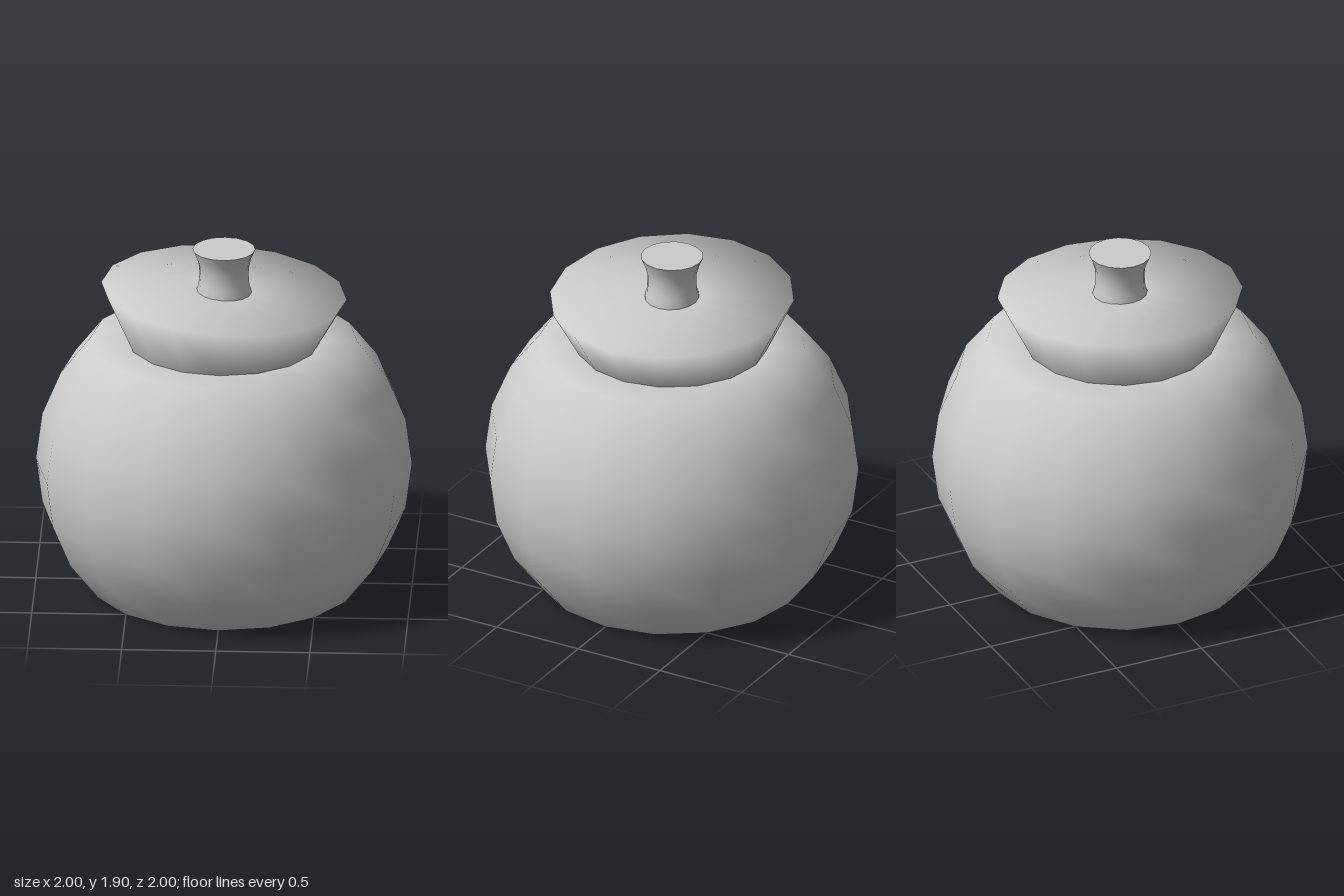
import * as THREE from 'three';
import { mergeVertices } from 'three/addons/utils/BufferGeometryUtils.js';

const SIDES = 16;
const grey = new THREE.MeshStandardMaterial({ color: 0xcccccc, side: THREE.DoubleSide });

// Revolves a profile, optionally moves its vertices, and smooths across every edge
function revolve(name, profile, moveY) {
  let geo = new THREE.LatheGeometry(profile.map(([r, y]) => new THREE.Vector2(r, y)), SIDES);
  geo.deleteAttribute('uv');
  geo.deleteAttribute('normal');
  geo = mergeVertices(geo, 1e-4);
  if (moveY) {
    const p = geo.attributes.position;
    for (let i = 0; i < p.count; i++) p.setY(i, moveY(p.getX(i), p.getY(i)));
  }
  geo.computeVertexNormals();
  const mesh = new THREE.Mesh(geo, grey);
  mesh.name = name;
  return mesh;
}

export function createModel() {
  const group = new THREE.Group();
  group.name = 'lidded jar';

  // Round body cut flat at both ends, with a shallow recess under the base
  const bodyProfile = [[0, 0.1], [0.53, 0.1], [0.53, 0]];
  const cut = Math.PI / 4 - 0.005;
  const steps = 6;
  for (let i = 0; i <= steps; i++) {
    const a = -cut + (2 * cut * i) / steps;
    bodyProfile.push([Math.cos(a), 0.69 + 0.975 * Math.sin(a)]);
  }
  const lowest = bodyProfile[3][1];
  for (let i = 3; i < bodyProfile.length; i++) {
    bodyProfile[i][1] = ((bodyProfile[i][1] - lowest) * 1.38) / (1.38 - 2 * lowest);
  }
  bodyProfile.push([0.51, 1.38]);
  group.add(revolve('body', bodyProfile));

  // Flared lid whose flat top leans down towards +x
  const tilt = (x, y) => (y > 1.6 ? y - 0.061 * x : y);
  group.add(revolve('lid', [[0.51, 1.375], [0.653, 1.66], [0.14, 1.66], [0, 1.66]], tilt));

  // Waisted knob with a sharp flat cap
  const knob = new THREE.Group();
  knob.name = 'knob';
  knob.add(revolve('knobStem', [
    [0.145, 1.64], [0.145, 1.67], [0.135, 1.7], [0.131, 1.75],
    [0.132, 1.8], [0.145, 1.85], [0.167, 1.9],
  ]));
  const cap = new THREE.Mesh(new THREE.CircleGeometry(0.167, SIDES), grey);
  cap.name = 'knobCap';
  cap.rotation.x = -Math.PI / 2;
  cap.position.y = 1.9;
  knob.add(cap);
  group.add(knob);

  return group;
}
